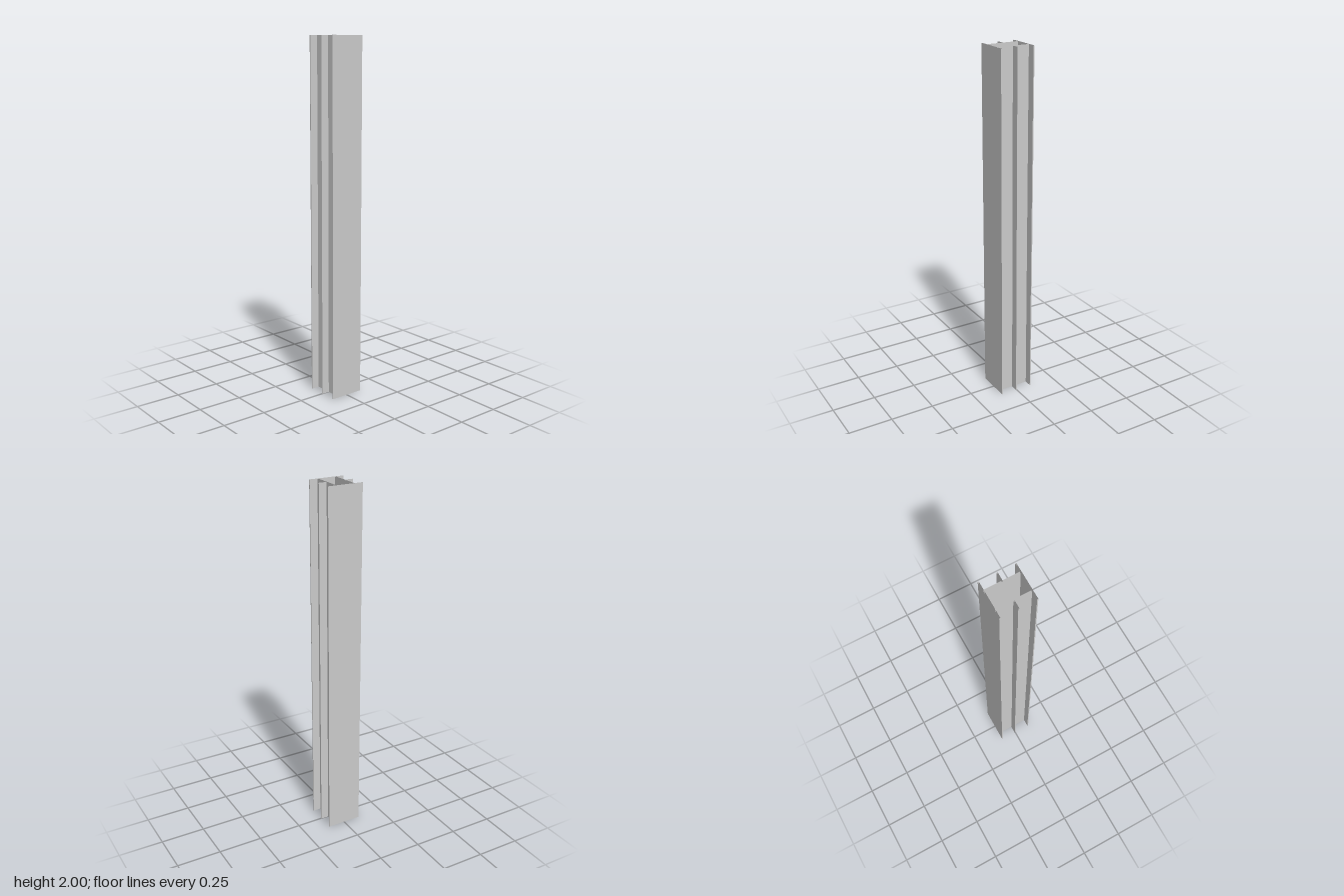
import * as THREE from 'three';

const HEIGHT = 2;
const X = 0.098, Z = 0.1;   // half width and half depth
const WEB = 0.055;          // outer face of each web
const T = 0.006;            // sheet thickness
const H = T / 2;

// Open-ended vertical wall along a closed [x, z] outline
function extrudedWall(outline, name) {
  const pos = [];
  outline.forEach(([ax, az], i) => {
    const [bx, bz] = outline[(i + 1) % outline.length];
    pos.push(ax, 0, az, bx, HEIGHT, bz, bx, 0, bz);
    pos.push(ax, 0, az, ax, HEIGHT, az, bx, HEIGHT, bz);
  });
  const geometry = new THREE.BufferGeometry();
  geometry.setAttribute('position', new THREE.Float32BufferAttribute(pos, 3));
  geometry.computeVertexNormals();
  const mesh = new THREE.Mesh(geometry, new THREE.MeshStandardMaterial({
    color: 0xcccccc, flatShading: true, side: THREE.DoubleSide,
  }));
  mesh.name = name;
  return mesh;
}

export function createModel() {
  const group = new THREE.Group();
  group.name = 'profileColumn';

  // Outer skin: side plates, recessed web and middle fin; the back repeats the front
  const front = [
    [X, Z], [X - T, Z], [X - T, WEB], [H, WEB], [H, Z],
    [-H, Z], [-H, WEB], [-X + T, WEB], [-X + T, Z], [-X, Z],
  ];
  const back = front.map(([x, z]) => [-x, -z]);
  group.add(extrudedWall([...front, ...back], 'outerSkin'));

  // Inner skin of the hollow core
  const ix = X - T, iz = WEB - T;
  group.add(extrudedWall([[ix, iz], [ix, -iz], [-ix, -iz], [-ix, iz]], 'innerSkin'));

  return group;
}
